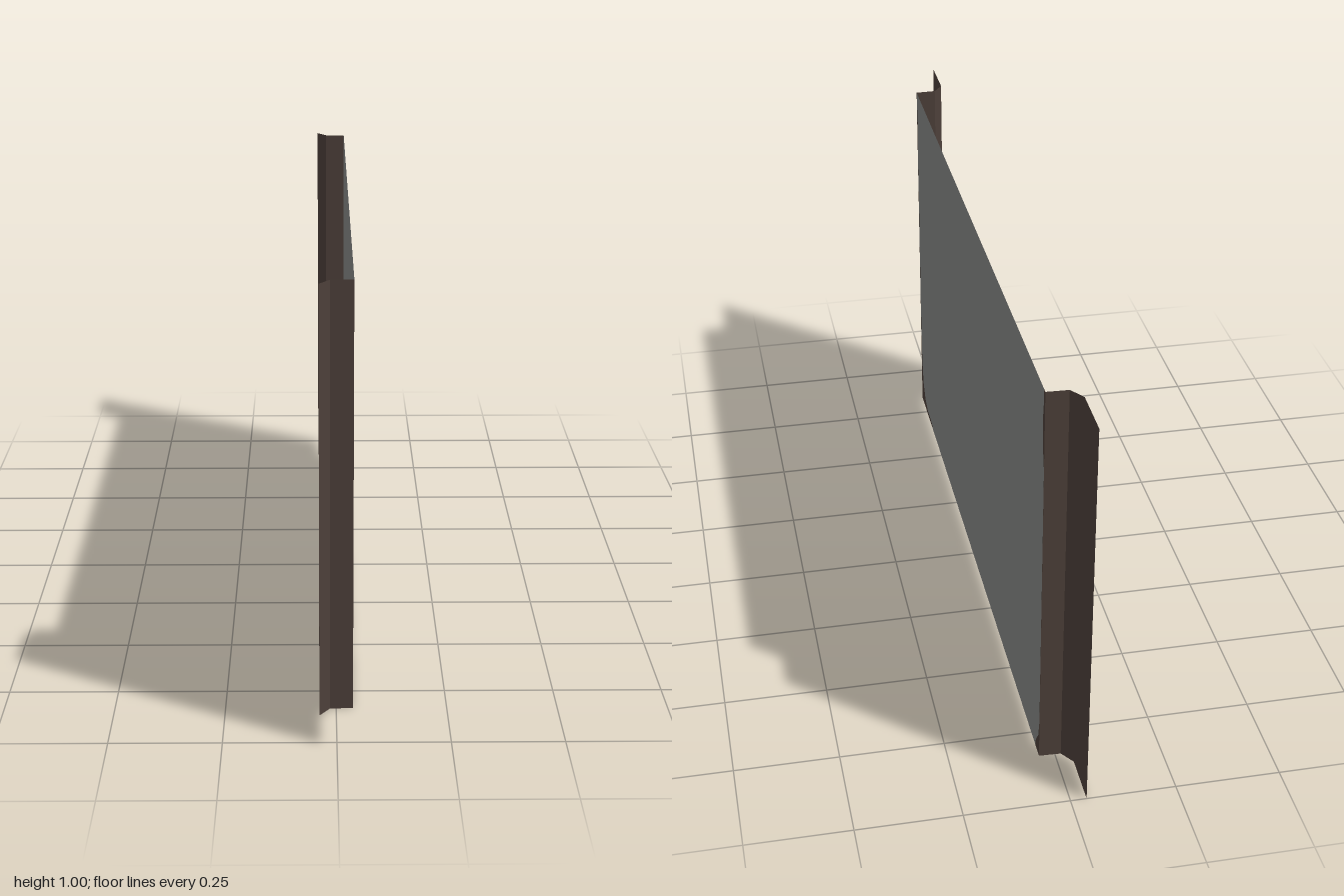
import * as THREE from 'three';

const brown = new THREE.MeshStandardMaterial({ color: 0x4c3f39, side: THREE.DoubleSide });
brown.name = 'brown trim';
const grey = new THREE.MeshStandardMaterial({ color: 0x838583, side: THREE.DoubleSide });
grey.name = 'grey sheet';

const HEIGHT = 1, PANEL_X = 0.038, EDGE = 0.836;

// Folded sheet: an [x, z] profile raised to full height, with hard creases
function foldedSheet(profile) {
  const pos = [];
  for (let i = 0; i < profile.length - 1; i++) {
    const [xa, za] = profile[i], [xb, zb] = profile[i + 1];
    pos.push(xa, 0, za, xb, 0, zb, xb, HEIGHT, zb);
    pos.push(xa, 0, za, xb, HEIGHT, zb, xa, HEIGHT, za);
  }
  const geo = new THREE.BufferGeometry();
  geo.setAttribute('position', new THREE.Float32BufferAttribute(pos, 3));
  geo.computeVertexNormals();
  return geo;
}

// Flat piece of the panel from a [z, y] outline, facing +x
function flatPiece(outline, material, name) {
  const shape = new THREE.Shape(outline.map(([z, y]) => new THREE.Vector2(-z, y)));
  const geo = new THREE.ShapeGeometry(shape);
  geo.rotateY(Math.PI / 2);
  geo.translate(PANEL_X, 0, 0);
  const mesh = new THREE.Mesh(geo, material);
  mesh.name = name;
  return mesh;
}

export function createModel() {
  const group = new THREE.Group();
  group.name = 'wallPanel';

  // Worn borders between grey sheet and brown trim, bottom to top
  const frontBorder = [
    [0.65, 0], [0.66, 0.01], [0.74, 0.012], [0.78, 0.03], [0.81, 0.07], [0.825, 0.14],
    [0.832, 0.3], [0.835, 0.34], [0.831, 0.42], [0.834, 0.52], [0.831, 0.62],
    [0.834, 0.78], [0.825, 0.86], [0.826, 0.92], [0.834, 0.97], [0.834, 1],
  ];
  const backBorder = [
    [-0.795, 0], [-0.8, 0.02], [-0.825, 0.055], [-0.834, 0.1], [-0.835, 0.8],
    [-0.82, 0.86], [-0.817, 0.92], [-0.824, 0.97], [-0.824, 1],
  ];
  group.add(flatPiece([...frontBorder, ...[...backBorder].reverse()], grey, 'sheet'));
  group.add(flatPiece([...frontBorder, [EDGE, 1], [EDGE, 0]], brown, 'frontWornEdge'));
  group.add(flatPiece([...backBorder, [-EDGE, 1], [-EDGE, 0]], brown, 'backWornEdge'));

  // Stepped flange at each end
  for (const s of [1, -1]) {
    const flange = new THREE.Mesh(foldedSheet([
      [-0.038, s], [-0.038, s * 0.872], [-0.014, s * 0.838], [PANEL_X, s * EDGE],
    ]), brown);
    flange.name = s > 0 ? 'frontFlange' : 'backFlange';
    group.add(flange);
  }
  return group;
}
